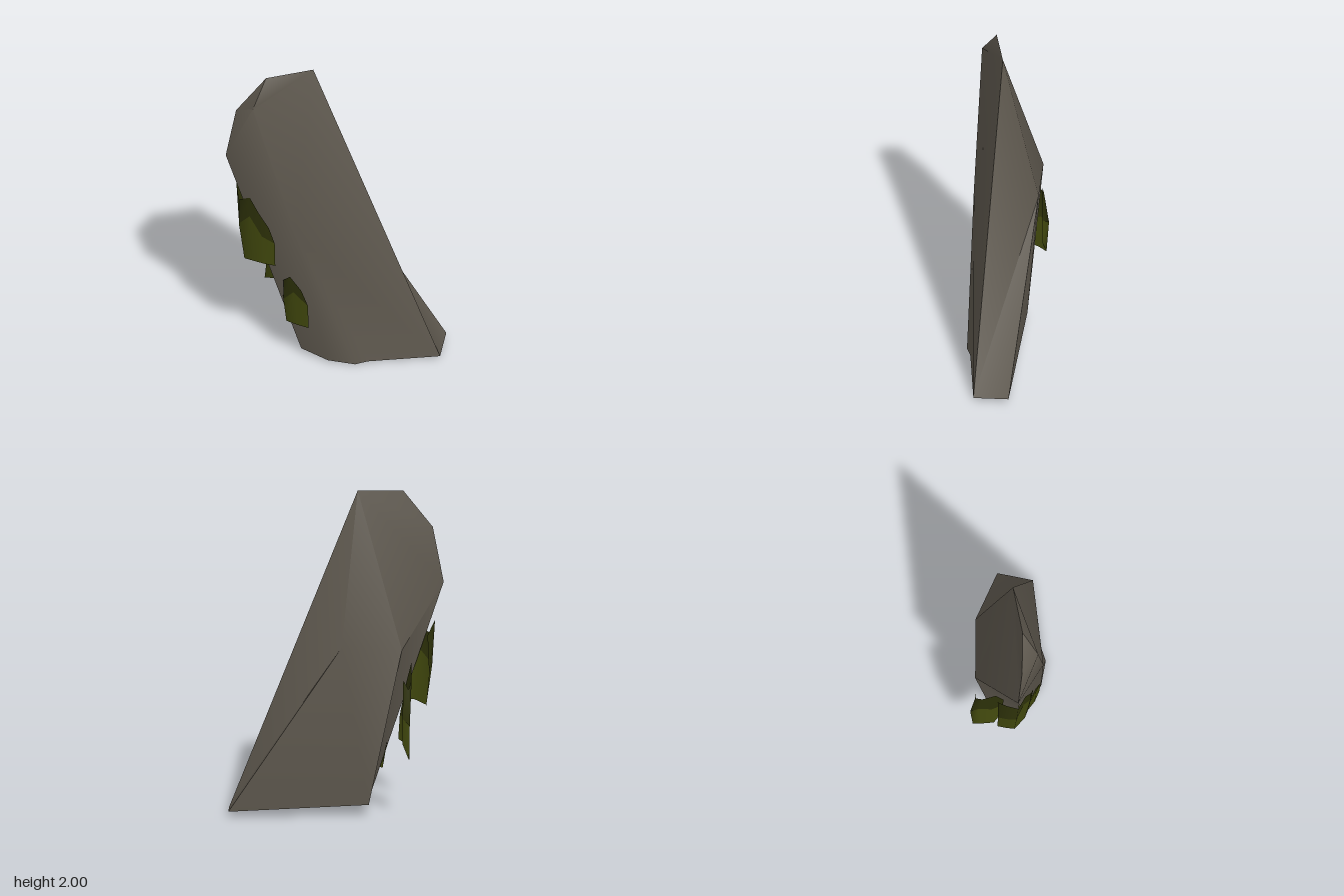
import * as THREE from 'three';
import { toCreasedNormals } from 'three/addons/utils/BufferGeometryUtils.js';

function material(name, color) {
  const m = new THREE.MeshStandardMaterial({ color, side: THREE.DoubleSide });
  m.name = name;
  return m;
}
const rock = material('grey brown rock', 0x5e584e);
const moss = material('moss green', 0x434a0e);
const darkMoss = material('dark moss green', 0x2f330a);

// Leaning slab: a chipped shell, open underneath
function makeSlab() {
  const corners = {
    // crown
    A: [-0.14, 2.0, 0.03], B: [-0.43, 1.975, 0.055], C: [-0.61, 1.74, 0.03], D: [-0.67, 1.4, 0],
    // front ridge
    E: [-0.52, 1.81, 0.14], F: [-0.27, 0.93, 0.2],
    // back ridge
    K: [-0.35, 1.05, -0.225], L: [0.015, 1.08, -0.18],
    // foot
    G: [0.61, 0.012, 0.24], H: [0.67, 0.04, 0.03], M: [-0.17, 0.065, -0.12], O: [-0.205, 0.05, 0],
    N: [-0.22, 0.03, 0.09], Q: [-0.07, 0.01, 0.21], R: [0.09, 0, 0.257], S: [0.17, 0.005, 0.24],
  };
  const faces = [
    'ABE AEF AFG FQR FRS FSG', // front
    'EBC ECD EDF DNF FNQ NDK NKO OKM', // left edge
    'CBA DCA DAK KAL KLM LHM', // back
    'LAG LGH', // right edge
  ].join(' ').split(' ');
  const points = faces.flatMap((face) => [...face].flatMap((c) => corners[c]));
  const g = new THREE.BufferGeometry();
  g.setAttribute('position', new THREE.Float32BufferAttribute(points, 3));
  const mesh = new THREE.Mesh(toCreasedNormals(g, 1.0), rock);
  mesh.name = 'slab';
  return mesh;
}

// Sheet joining two rows of points
function strip(lower, upper, mat, name) {
  const index = [];
  for (let i = 0; i < lower.length - 1; i++) {
    const j = i + lower.length;
    index.push(i, i + 1, j + 1, i, j + 1, j);
  }
  const g = new THREE.BufferGeometry();
  g.setAttribute('position', new THREE.Float32BufferAttribute([...lower, ...upper].flat(), 3));
  g.setIndex(index);
  g.computeVertexNormals();
  const mesh = new THREE.Mesh(g, mat);
  mesh.name = name;
  return mesh;
}

// Moss patch: columns of bottom, middle and top points, running around the slab's left edge
function makeMoss(name, columns) {
  const row = (k) => columns.map((c) => c[k]);
  const group = new THREE.Group();
  group.name = name;
  group.add(strip(row(0), row(1), moss, 'mossFringe'));
  group.add(strip(row(1), row(2), darkMoss, 'mossTop'));
  return group;
}

export function createModel() {
  const model = new THREE.Group();
  model.name = 'mossyRock';
  model.add(makeSlab());

  model.add(makeMoss('upperMoss', [
    [[-0.53, 0.65, -0.11], [-0.55, 0.86, -0.11], [-0.54, 1.1, -0.11]],
    [[-0.545, 0.645, -0.06], [-0.585, 0.9, -0.05], [-0.6, 1.18, -0.06]],
    [[-0.555, 0.64, -0.01], [-0.59, 0.9, 0], [-0.59, 1.08, 0.01]],
    [[-0.5, 0.66, 0.06], [-0.53, 0.98, 0.05], [-0.53, 1.12, 0.06]],
    [[-0.44, 0.655, 0.09], [-0.46, 0.86, 0.1], [-0.48, 1.03, 0.1]],
    [[-0.38, 0.65, 0.11], [-0.385, 0.82, 0.125], [-0.42, 0.93, 0.12]],
  ]));

  model.add(makeMoss('lowerMoss', [
    [[-0.3, 0.24, 0.05], [-0.325, 0.4, 0.04], [-0.33, 0.5, 0.04]],
    [[-0.31, 0.235, 0.09], [-0.33, 0.4, 0.1], [-0.33, 0.55, 0.12]],
    [[-0.25, 0.24, 0.15], [-0.275, 0.48, 0.155], [-0.295, 0.59, 0.15]],
    [[-0.185, 0.235, 0.185], [-0.19, 0.4, 0.195], [-0.23, 0.51, 0.19]],
  ]));

  model.add(makeMoss('backMoss', [
    [[-0.355, 0.46, -0.215], [-0.355, 0.62, -0.22], [-0.36, 0.86, -0.22]],
    [[-0.39, 0.36, -0.245], [-0.39, 0.58, -0.26], [-0.39, 0.8, -0.23]],
    [[-0.405, 0.385, -0.2], [-0.395, 0.62, -0.21], [-0.42, 0.85, -0.19]],
    [[-0.42, 0.42, -0.12], [-0.4, 0.6, -0.13], [-0.44, 0.94, -0.11]],
    [[-0.37, 0.45, -0.06], [-0.38, 0.6, -0.06], [-0.42, 0.8, -0.06]],
  ]));

  return model;
}
